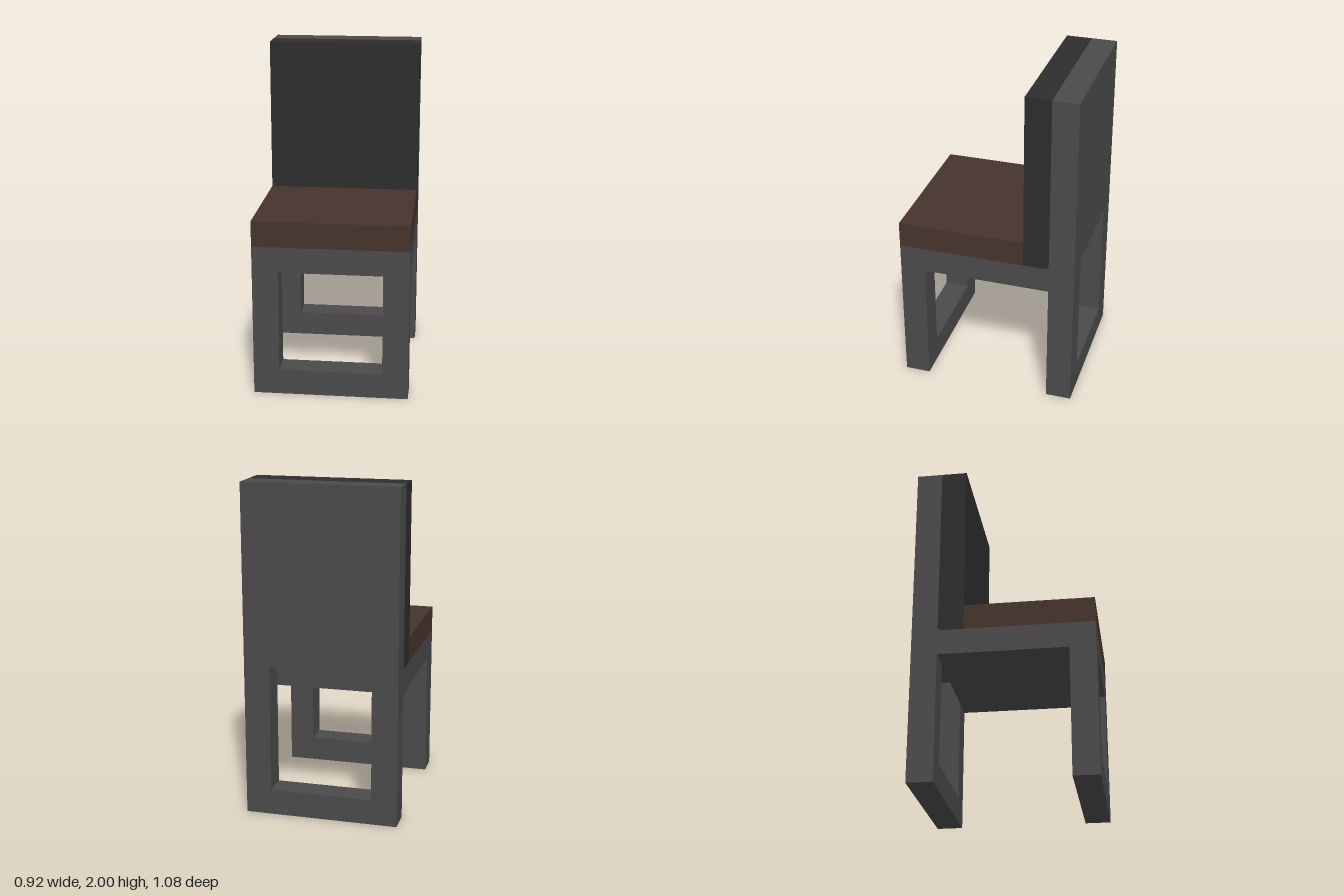
import * as THREE from 'three';

export function createModel() {
  const group = new THREE.Group();
  group.name = 'chair';

  const material = (name, color) => {
    const m = new THREE.MeshStandardMaterial({ color });
    m.name = name;
    return m;
  };
  const frameGrey = material('frameGrey', 0x4a4a4a);
  const backBlack = material('backBlack', 0x2d2d2d);
  const seatBrown = material('seatBrown', 0x46332c);

  // All parts follow a module of 1/13 of the height
  const U = 2 / 13;
  const W = 6 * U;
  const C = 0.015; // small bevel where back cushion meets frame

  const add = (name, geometry, mat) => {
    const mesh = new THREE.Mesh(geometry, mat);
    mesh.name = name;
    group.add(mesh);
    return mesh;
  };

  // Box spanning the full width, given y and z ranges
  const slab = (name, y0, y1, z0, z1, mat) => {
    add(name, new THREE.BoxGeometry(W, y1 - y0, z1 - z0), mat)
      .position.set(0, (y0 + y1) / 2, (z0 + z1) / 2);
  };

  // Upright panel, one module thick, with a rectangular opening
  const frame = (name, height, holeTop, z0) => {
    const shape = new THREE.Shape([
      [-W / 2, 0], [W / 2, 0], [W / 2, height], [-W / 2, height],
    ].map(([x, y]) => new THREE.Vector2(x, y)));
    shape.holes.push(new THREE.Path([
      [-2 * U, U], [-2 * U, holeTop], [2 * U, holeTop], [2 * U, U],
    ].map(([x, y]) => new THREE.Vector2(x, y))));
    const geometry = new THREE.ExtrudeGeometry(shape, { depth: U, bevelEnabled: false });
    add(name, geometry.translate(0, 0, z0), frameGrey);
  };

  // Side profile of [z, y] points extruded across the width
  const profile = (name, points, mat) => {
    const shape = new THREE.Shape(points.map(([z, y]) => new THREE.Vector2(-z, y)));
    const geometry = new THREE.ExtrudeGeometry(shape, { depth: W, bevelEnabled: false });
    geometry.translate(0, 0, -W / 2).rotateY(Math.PI / 2);
    add(name, geometry, mat);
  };

  // Frame
  frame('frontLegFrame', 6 * U, 5 * U, 2.5 * U);
  frame('rearLegFrameAndBack', 13 * U, 6 * U, -3.5 * U);
  slab('seatSupport', 5 * U, 6 * U, -2.5 * U, 2.5 * U, frameGrey);

  // Cushions
  slab('seat', 6 * U, 7 * U, -1.5 * U, 3.5 * U, seatBrown);
  const zb = -2.5 * U, zf = -1.5 * U, yb = 6 * U;
  profile('backCushion', [
    [zf, yb], [zb + C, yb], [zb, yb + C], [zb, 13 * U], [zf, 13 * U],
  ], backBlack);
  profile('backCornerFillet', [[zb, yb], [zb, yb + C], [zb + C, yb]], frameGrey);

  return group;
}
